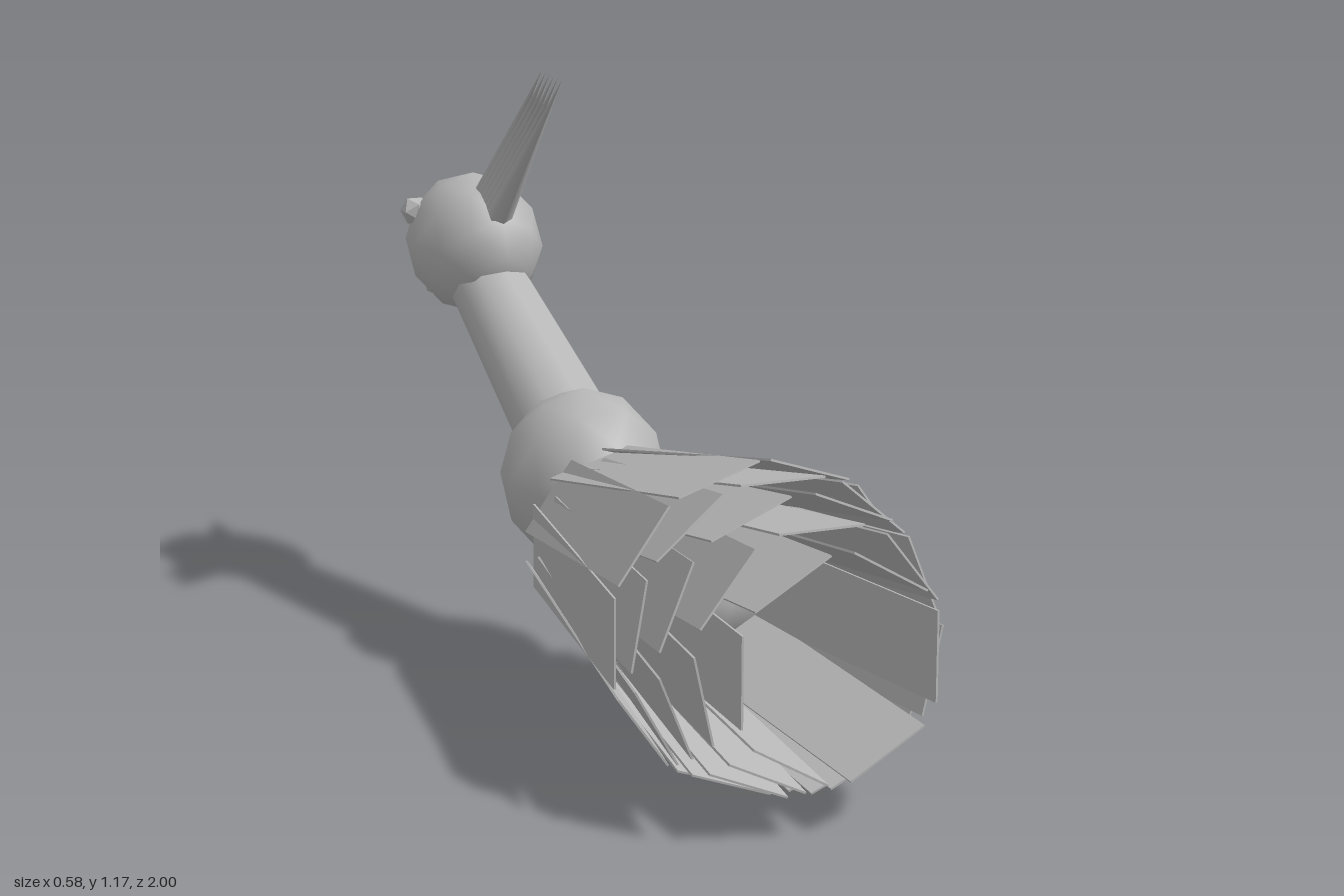
import * as THREE from 'three';

export function createModel() {
  const model = new THREE.Group();
  const grey = new THREE.MeshStandardMaterial({ color: 0xb8b8b8 });
  grey.name = 'plain grey';

  function add(name, geometry, x, y, z, parent = model) {
    const mesh = new THREE.Mesh(geometry, grey);
    mesh.name = name;
    mesh.position.set(x, y, z);
    parent.add(mesh);
    return mesh;
  }

  // Faceted outline with smooth shading
  const blob = (name, y, z, rx, ry, rz) =>
    add(name, new THREE.IcosahedronGeometry(1, 1), 0, y, z).scale.set(rx, ry, rz);

  // Tapered round bar between two points [y, z] on the centre plane
  function bar(name, from, to, r0, r1, sides) {
    const a = new THREE.Vector3(0, ...from);
    const b = new THREE.Vector3(0, ...to);
    const dir = b.clone().sub(a);
    const mid = a.clone().add(b).multiplyScalar(0.5);
    const mesh = add(name, new THREE.CylinderGeometry(r1, r0, dir.length(), sides), mid.x, mid.y, mid.z);
    mesh.quaternion.setFromUnitVectors(new THREE.Vector3(0, 1, 0), dir.normalize());
    return mesh;
  }

  // Body, tail core, neck and head
  blob('body', 0.39, -0.075, 0.16, 0.178, 0.187);
  blob('tailCore', 0.31, 0.25, 0.155, 0.16, 0.34);
  bar('neck', [0.46, -0.15], [0.70, -0.58], 0.10, 0.08, 10);
  blob('head', 0.765, -0.645, 0.134, 0.147, 0.19);

  // Beak
  bar('upperBeak', [0.725, -0.78], [0.67, -1.0], 0.042, 0, 6);
  bar('lowerBeak', [0.70, -0.78], [0.63, -0.885], 0.032, 0.018, 6);

  // Eyes
  for (const side of [-1, 1]) {
    add(side > 0 ? 'leftEye' : 'rightEye', new THREE.IcosahedronGeometry(0.031, 0), side * 0.108, 0.83, -0.705);
  }

  // Crest: a row of thin spikes sweeping back
  for (let i = 0; i < 6; i++) {
    const t = i / 5;
    bar('crestSpike', [0.84 + 0.04 * t, -0.505 - 0.06 * t], [1.16 + 0.008 * t, -0.175 - 0.1 * t], 0.027, 0, 6);
  }

  // Tail: nested rings of flat feathers, the inner rings reaching furthest back
  const rings = [
    // count, start radius, start z, end radius, end z
    [6, 0.115, 0.30, 0.185, 1.0],
    [7, 0.135, 0.235, 0.225, 0.925],
    [8, 0.145, 0.17, 0.257, 0.855],
    [9, 0.155, 0.11, 0.276, 0.78],
    [10, 0.16, 0.055, 0.286, 0.71],
  ];
  const tail = new THREE.Group();
  tail.name = 'tail';
  tail.position.y = 0.3;
  model.add(tail);
  for (const [count, r0, z0, r1, z1] of rings) {
    const geometry = new THREE.BoxGeometry(0.004, 0.163, Math.hypot(r1 - r0, z1 - z0));
    for (let i = 0; i < count; i++) {
      const spoke = new THREE.Group();
      spoke.name = 'featherSpoke';
      spoke.rotation.z = -Math.PI / 2 + ((i + 0.5) / count) * Math.PI * 2;
      tail.add(spoke);
      const feather = add('tailFeather', geometry, (r0 + r1) / 2, 0, (z0 + z1) / 2, spoke);
      feather.rotation.y = Math.atan2(r1 - r0, z1 - z0);
    }
  }
  return model;
}
